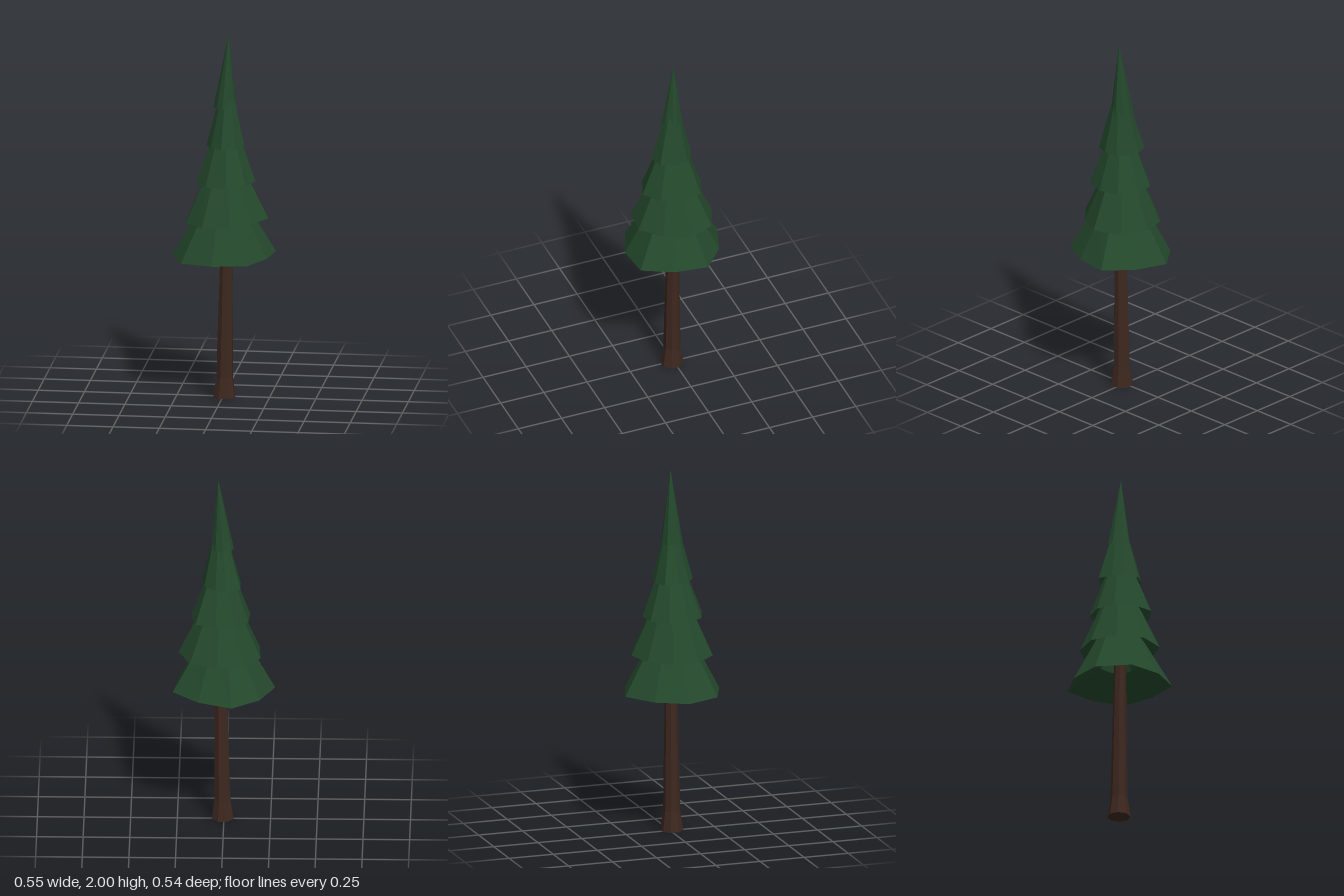
import * as THREE from 'three';

const AXIS = [0.022, 0.012]; // x, z of the trunk line

// Skin a list of rings (each an array of [x, y, z]) with quads
function loft(rings) {
  const pos = [];
  for (let k = 0; k < rings.length - 1; k++) {
    const a = rings[k], b = rings[k + 1], n = a.length;
    for (let i = 0; i < n; i++) {
      const j = (i + 1) % n;
      pos.push(...a[i], ...b[i], ...b[j], ...a[i], ...b[j], ...a[j]);
    }
  }
  const geo = new THREE.BufferGeometry();
  geo.setAttribute('position', new THREE.Float32BufferAttribute(pos, 3));
  geo.computeVertexNormals();
  return geo;
}

// Hem outline (x, z pairs), hem height, top height and top scale of each tier
const tiers = [
  { y: 0.78, top: 1.05, scale: 0.45, hem: [-0.045, -0.27, 0.135, -0.21, 0.273, -0.09, 0.247, 0.09, 0.16, 0.255, -0.03, 0.268, -0.203, 0.198, -0.275, 0.015, -0.193, -0.155] },
  { y: 0.98, top: 1.25, scale: 0.45, hem: [0.035, -0.207, 0.18, -0.147, 0.243, -0.005, 0.17, 0.13, 0.065, 0.228, -0.088, 0.212, -0.19, 0.1, -0.197, -0.05, -0.105, -0.165] },
  { y: 1.19, top: 1.46, scale: 0.4, hem: [0.045, -0.142, 0.15, -0.097, 0.177, 0.015, 0.135, 0.13, 0.035, 0.192, -0.078, 0.15, -0.14, 0.06, -0.132, -0.05, -0.06, -0.133] },
  { y: 1.39, top: 1.66, scale: 0.38, hem: [0.045, -0.087, 0.105, -0.04, 0.118, 0.033, 0.083, 0.11, 0.005, 0.13, -0.057, 0.085, -0.09, 0.018, -0.09, -0.06, -0.015, -0.09] },
  { y: 1.6, top: 2, scale: 0, hem: [0.005, -0.045, 0.045, -0.035, 0.07, 0, 0.065, 0.03, 0.038, 0.065, 0.005, 0.073, -0.03, 0.05, -0.053, 0.005, -0.04, -0.03] },
];

export function createModel() {
  const tree = new THREE.Group();
  tree.name = 'pineTree';
  const green = new THREE.MeshStandardMaterial({ color: 0x24492c, flatShading: true, side: THREE.DoubleSide });
  const brown = new THREE.MeshStandardMaterial({ color: 0x3d281f, flatShading: true });

  // Trunk with a flared foot
  const profile = [[0, 0], [0.062, 0], [0.046, 0.11], [0.042, 0.35], [0.034, 0.78], [0.028, 1.05], [0, 1.05]];
  const trunk = new THREE.Mesh(
    new THREE.LatheGeometry(profile.map(([r, y]) => new THREE.Vector2(r, y)), 8, Math.PI / 8), brown);
  trunk.position.set(AXIS[0] - 0.015, 0, AXIS[1]);
  // lean towards the crown
  const p = trunk.geometry.attributes.position;
  for (let i = 0; i < p.count; i++) p.setX(i, p.getX(i) + 0.014 * p.getY(i));
  trunk.name = 'trunk';
  tree.add(trunk);

  // Foliage tiers: inner sleeve, shallow underside, hem, sloping outer skirt
  tiers.forEach(({ y, top, scale, hem }, t) => {
    const cx = 0.03 * (t + 1) / tiers.length, cz = AXIS[1];
    const ring = (s, h, tilt = 0) => Array.from({ length: hem.length / 2 }, (_, i) => {
      const x = hem[2 * i], z = hem[2 * i + 1];
      return [cx + (x - cx) * s, h + tilt * x, cz + (z - cz) * s];
    });
    const tier = new THREE.Mesh(loft([
      ring(0.26, y + 0.22),
      ring(0.36, y + 0.11),
      ring(1, y, 0.03),
      ring(scale, top),
    ]), green);
    tier.name = 'foliageTier' + (t + 1);
    tree.add(tier);
  });
  return tree;
}
